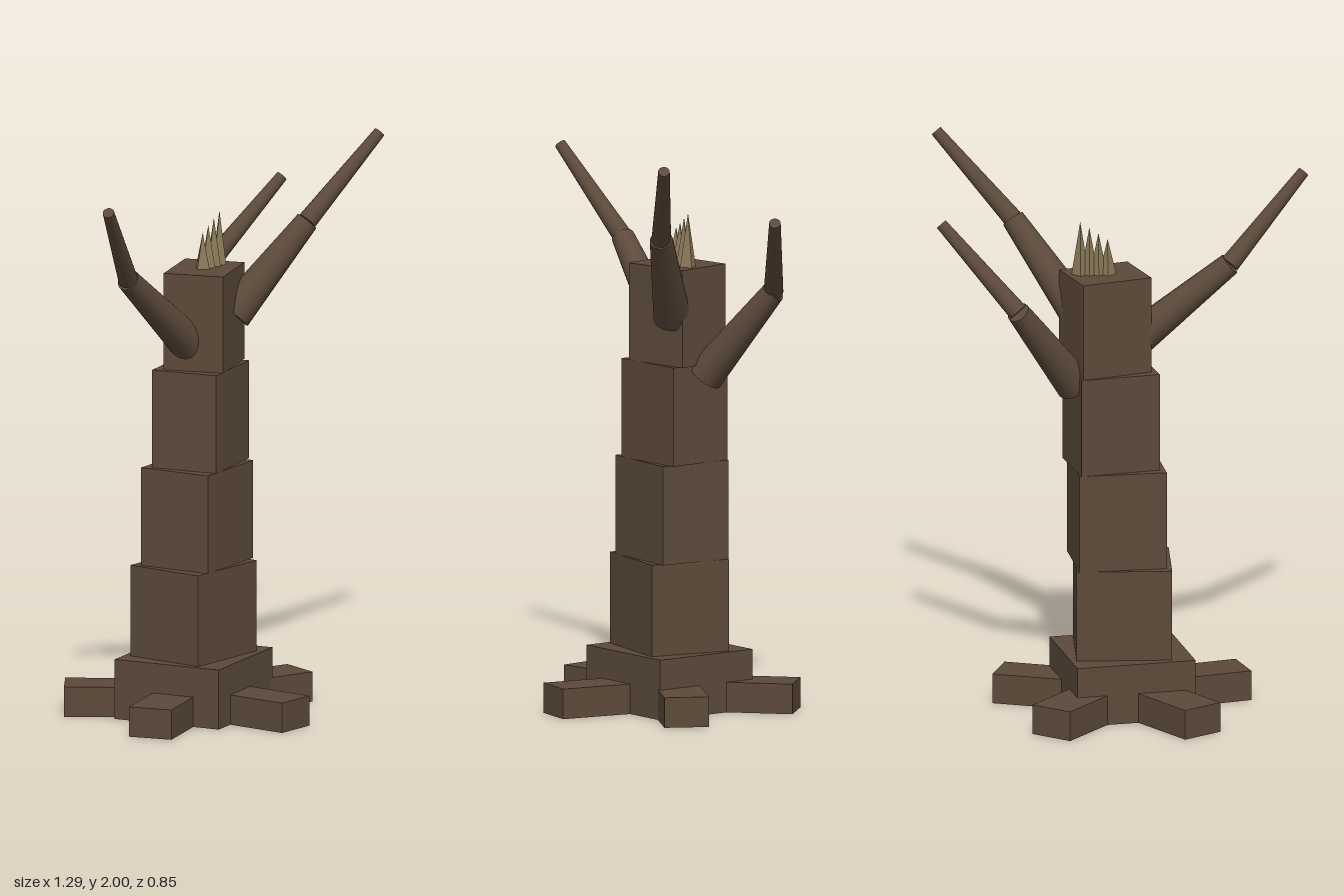
import * as THREE from 'three';

const bark = new THREE.MeshStandardMaterial({ color: 0x5c4a3a });
const splinterWood = new THREE.MeshStandardMaterial({ color: 0x8a7858 });
const CZ = -0.02; // trunk axis depth

function addMesh(parent, name, geometry, material = bark) {
  const mesh = new THREE.Mesh(geometry, material);
  mesh.name = name;
  parent.add(mesh);
  return mesh;
}

// Box standing on height y0, turned about the vertical axis
function addBlock(parent, name, w, d, y0, y1, x, turn) {
  const block = addMesh(parent, name, new THREE.BoxGeometry(w, y1 - y0, d));
  block.position.set(x, (y0 + y1) / 2, CZ);
  block.rotation.y = turn;
}

// Tapered cylinder between two points
function addLimb(parent, name, from, to, r0, r1) {
  const dir = to.clone().sub(from);
  const limb = addMesh(parent, name, new THREE.CylinderGeometry(r1, r0, dir.length(), 20));
  limb.position.copy(from).addScaledVector(dir, 0.5);
  limb.quaternion.setFromUnitVectors(new THREE.Vector3(0, 1, 0), dir.normalize());
}

export function createModel() {
  const tree = new THREE.Group();
  tree.name = 'deadTree';

  // Five radiating roots
  const roots = new THREE.Group();
  roots.name = 'roots';
  roots.position.z = CZ;
  tree.add(roots);
  const inner = 0.08, outer = 0.445;
  for (let i = 0; i < 5; i++) {
    const geometry = new THREE.BoxGeometry(0.155, 0.105, outer - inner);
    geometry.translate(0, 0.0525, (outer + inner) / 2);
    addMesh(roots, 'root', geometry).rotation.y = (i * Math.PI * 2) / 5;
  }

  // Base and twisting, narrowing trunk
  addBlock(tree, 'trunkBase', 0.42, 0.4, 0, 0.21, 0, 0.2);
  const levels = [0.21, 0.53, 0.875, 1.22, 1.56];
  for (let i = 0; i < 4; i++) {
    addBlock(tree, 'trunkSegment', 0.33 - i * 0.0247, 0.295 - i * 0.027,
      levels[i], levels[i + 1], i * 0.02, i * 0.12);
  }

  // Bent branches: start, elbow, tip
  const branches = {
    rightBranch: [[-0.03, 1.31, -0.02], [-0.37, 1.59, -0.02], [-0.63, 1.885, 0.095]],
    leftFrontBranch: [[0.145, 1.39, 0.04], [0.37, 1.7, 0.19], [0.63, 1.985, 0.305]],
    leftBackBranch: [[0.17, 1.18, -0.075], [0.37, 1.49, -0.24], [0.63, 1.775, -0.12]],
  };
  for (const [name, points] of Object.entries(branches)) {
    const branch = new THREE.Group();
    branch.name = name;
    tree.add(branch);
    const [start, elbow, tip] = points.map((p) => new THREE.Vector3(...p));
    addLimb(branch, 'lowerLimb', start, elbow, 0.065, 0.04);
    addLimb(branch, 'upperLimb', elbow, tip, 0.034, 0.02);
  }

  // Row of splinters on the broken top
  for (let i = 0; i < 4; i++) {
    const height = 0.125 + i * 0.021;
    const geometry = new THREE.ConeGeometry(0.03, height, 4).toNonIndexed();
    geometry.computeVertexNormals();
    const splinter = addMesh(tree, 'splinter', geometry, splinterWood);
    splinter.position.set(0.052 + i * 0.0315, 1.56 + height / 2, CZ);
  }
  return tree;
}
